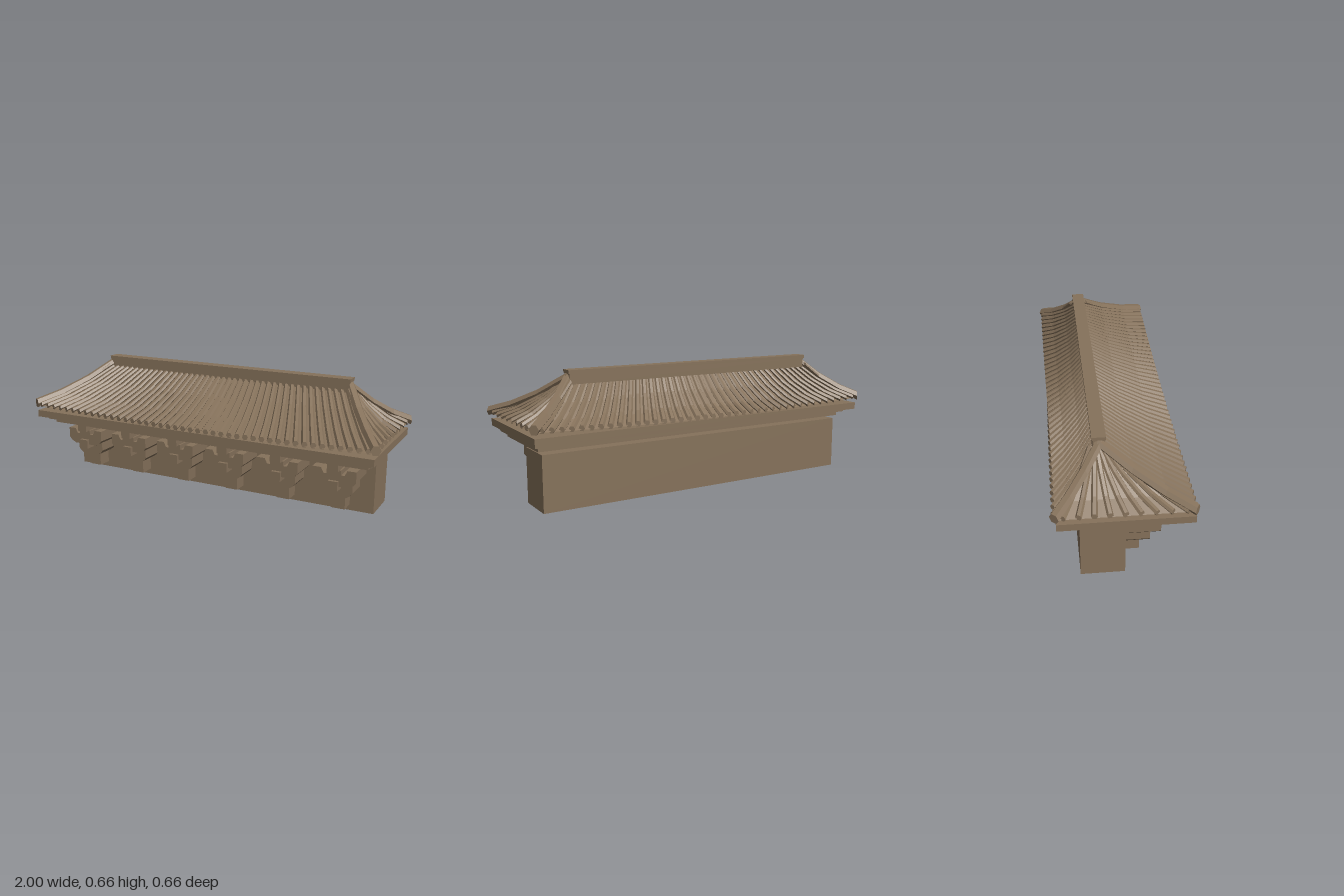
import * as THREE from 'three';
import { mergeGeometries } from 'three/addons/utils/BufferGeometryUtils.js';

const RIDGE_Z = -0.095, RIDGE_X = 0.73;
const STEPS = [0, 0.36, 0.7, 1]; // bends of the sagging roof, ridge to eave

// Remaining height (1 at the ridge, 0 at the eave) along the sagging slope
const sag = (s) => 0.45 * (1 - s) ** 2 + 0.55 * (1 - s);

// Point list running from a ridge point down to an eave point
function slope(top, eave) {
  return STEPS.map((s) => new THREE.Vector3(
    THREE.MathUtils.lerp(top[0], eave[0], s),
    THREE.MathUtils.lerp(eave[1], top[1], sag(s)),
    THREE.MathUtils.lerp(top[2], eave[2], s)));
}

function geometryFrom(verts, index) {
  const g = new THREE.BufferGeometry();
  g.setAttribute('position', new THREE.Float32BufferAttribute(verts, 3));
  g.setIndex(index);
  const flat = g.toNonIndexed();
  flat.computeVertexNormals();
  return flat;
}

// Closed hexagonal rod along a slope
function rod(points, r0, r1) {
  const N = 6, verts = [], index = [], last = points.length - 1;
  const dir = points[last].clone().sub(points[0]).setY(0).normalize();
  const side = new THREE.Vector3(0, 1, 0).cross(dir);
  points.forEach((p, i) => {
    const r = THREE.MathUtils.lerp(r0, r1, STEPS[i]);
    for (let j = 0; j < N; j++) {
      const a = (j / N) * Math.PI * 2;
      const c = Math.cos(a) * r;
      verts.push(p.x + side.x * c, p.y + Math.sin(a) * r, p.z + side.z * c);
    }
  });
  for (let i = 0; i < last; i++) {
    for (let j = 0; j < N; j++) {
      const a = i * N + j, b = i * N + (j + 1) % N;
      index.push(a, b, b + N, a, b + N, a + N);
    }
  }
  for (let j = 1; j < N - 1; j++) {
    index.push(0, j + 1, j, last * N, last * N + j, last * N + j + 1);
  }
  return geometryFrom(verts, index);
}

// Sheet joining neighbouring slopes
function sheet(rows) {
  const verts = [], index = [], n = STEPS.length;
  rows.flat().forEach((p) => verts.push(p.x, p.y - 0.007, p.z));
  for (let i = 0; i < rows.length - 1; i++) {
    for (let j = 0; j < n - 1; j++) {
      const a = i * n + j, b = a + n;
      index.push(a, a + 1, b + 1, a, b + 1, b);
    }
  }
  return geometryFrom(verts, index);
}

// The four roof faces; u runs from -1 to 1 along each eave
const longSlope = (z) => (u) =>
  slope([0.72 * u, 0.61, RIDGE_Z], [0.97 * u, 0.4 + 0.022 * u * u, z]);
const endSlope = (sx) => (u) =>
  slope([sx * RIDGE_X, 0.605, RIDGE_Z + 0.05 * u], [sx * 0.975, 0.42, 0.31 * u]);

export function createModel() {
  const model = new THREE.Group();
  const stone = new THREE.MeshStandardMaterial({ color: 0x86725b, side: THREE.DoubleSide });
  stone.name = 'brown stone';

  const add = (name, geometry, parent = model) => {
    const mesh = new THREE.Mesh(geometry, stone);
    mesh.name = name;
    parent.add(mesh);
    return mesh;
  };
  // Box given by half width and its y and z limits
  const box = (name, hx, y0, y1, z0, z1, parent) => {
    const mesh = add(name, new THREE.BoxGeometry(hx * 2, y1 - y0, z1 - z0), parent);
    mesh.position.set(0, (y0 + y1) / 2, (z0 + z1) / 2);
    return mesh;
  };

  // Wall and stepped cornice
  box('wall', 0.905, 0, 0.283, -0.2, 0.01);
  box('lowerCornice', 0.925, 0.3, 0.325, -0.205, 0.22);
  box('middleCornice', 0.95, 0.325, 0.348, -0.235, 0.258);
  box('upperCornice', 0.975, 0.348, 0.385, -0.305, 0.313);

  // Boat-shaped bracket arm with raised ends, run out from the wall
  const arm = (name, foot, half, y0, yWide, yDip, y1, z, parent) => {
    const right = [[foot, y0], [half * 0.88, (y0 + yWide) / 2], [half, yWide],
      [half, y1], [half * 0.6, y1], [half * 0.48, yDip]];
    const left = right.map(([x, y]) => [-x, y]).reverse();
    const shape = new THREE.Shape([...right, ...left].map(([x, y]) => new THREE.Vector2(x, y)));
    const geometry = new THREE.ExtrudeGeometry(shape, { depth: z - 0.005, bevelEnabled: false });
    add(name, geometry, parent).position.z = 0.005;
  };

  // Six bracket sets under the eave
  for (let i = 0; i < 6; i++) {
    const bracket = new THREE.Group();
    bracket.name = 'bracket';
    bracket.position.x = -0.755 + i * 0.3;
    box('bracketPost', 0.035, 0.03, 0.105, 0, 0.09, bracket);
    box('bracketSeat', 0.045, 0.104, 0.117, 0, 0.113, bracket);
    arm('lowerArm', 0.052, 0.083, 0.108, 0.136, 0.17, 0.188, 0.133, bracket);
    box('bracketNose', 0.025, 0.157, 0.207, 0, 0.195, bracket);
    arm('upperArm', 0.07, 0.112, 0.178, 0.208, 0.238, 0.265, 0.178, bracket);
    box('topBlock', 0.036, 0.237, 0.263, 0.015, 0.182, bracket);
    box('topBeam', 0.028, 0.26, 0.302, -0.03, 0.205, bracket);
    model.add(bracket);
  }

  // Roof faces with their rows of tile rods
  const faces = [
    ['frontRoof', longSlope(0.315), 44],
    ['backRoof', longSlope(-0.315), 40],
    ['leftRoof', endSlope(1), 9],
    ['rightRoof', endSlope(-1), 9],
  ];
  for (const [name, face, count] of faces) {
    const rows = [];
    for (let i = 0; i <= 12; i++) rows.push(face(i / 6 - 1));
    add(name, sheet(rows));
    const rods = [];
    for (let i = 0; i < count; i++) {
      const u = ((i + 0.5) / count) * 2 - 1;
      rods.push(rod(face(u), 0.0125, 0.015));
    }
    add(name + 'Tiles', mergeGeometries(rods));
  }

  // Hip ridges to the four corners
  for (const sx of [1, -1]) {
    for (const sz of [1, -1]) {
      const path = slope([sx * (RIDGE_X - 0.01), 0.625, RIDGE_Z], [sx * 0.98, 0.427, sz * 0.313]);
      add('hipRidge', rod(path, 0.024, 0.026));
    }
  }

  // Main ridge
  box('ridgeBody', 0.725, 0.59, 0.645, -0.125, -0.068);
  box('ridgeCap', RIDGE_X, 0.643, 0.66, -0.13, -0.064);

  return model;
}
